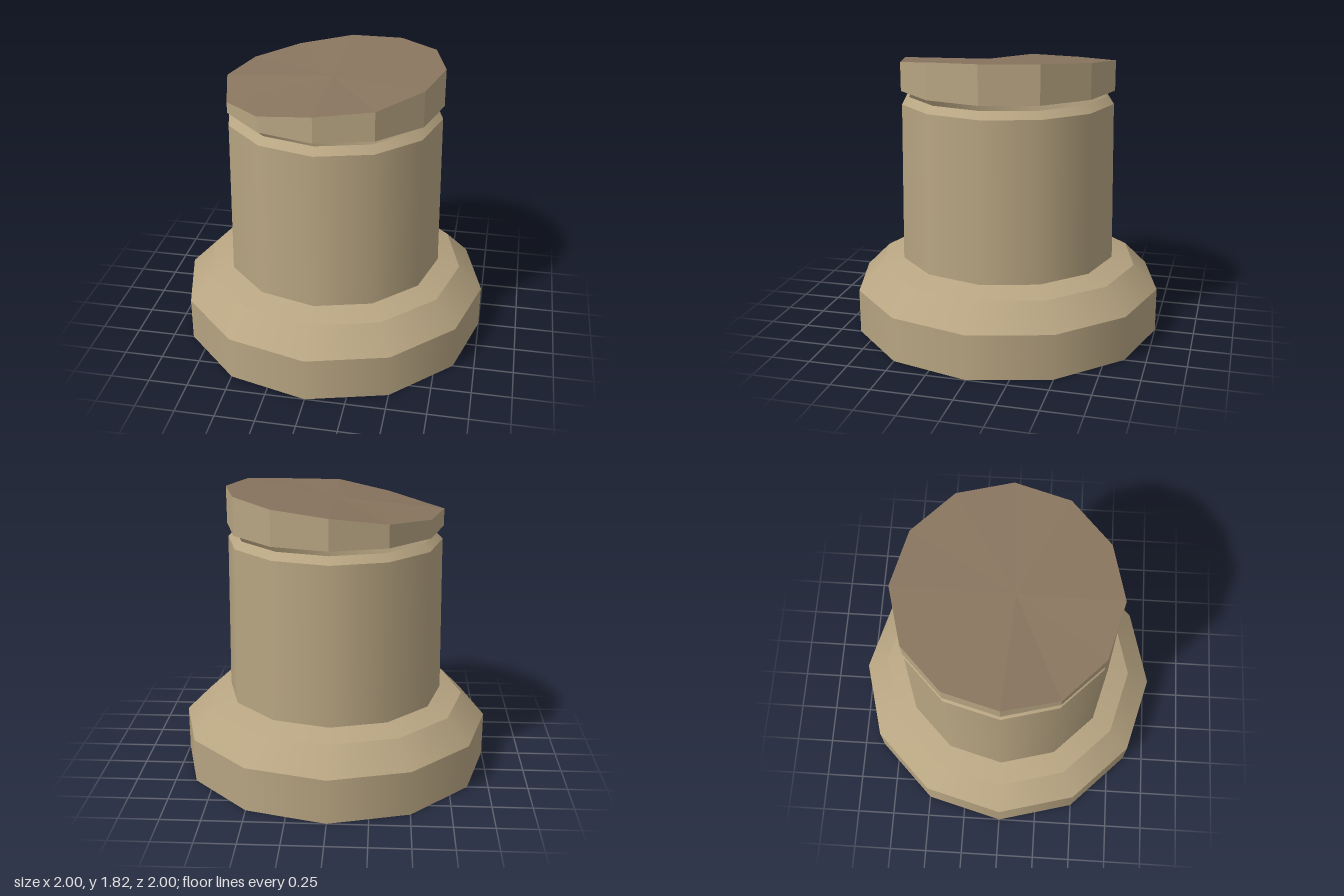
import * as THREE from 'three';

const SIDES = 12;
const stone = new THREE.MeshStandardMaterial({ color: 0xb8a582, side: THREE.DoubleSide });
const slabStone = new THREE.MeshStandardMaterial({ color: 0xb8a582, side: THREE.DoubleSide, flatShading: true });
const slabFace = new THREE.MeshStandardMaterial({ color: 0x89755f, side: THREE.DoubleSide, flatShading: true });

// Open 12-sided band between two radii and heights
function band(name, r0, y0, r1, y1) {
  const mesh = new THREE.Mesh(new THREE.CylinderGeometry(r1, r0, y1 - y0, SIDES, 1, true), stone);
  mesh.position.y = (y0 + y1) / 2;
  mesh.name = name;
  return mesh;
}

// Triangles from a flat list of corners
function faces(name, corners, material) {
  const geometry = new THREE.BufferGeometry().setFromPoints(corners);
  geometry.computeVertexNormals();
  const mesh = new THREE.Mesh(geometry, material);
  mesh.name = name;
  return mesh;
}

// Loose slab with an uneven, sloping top
function createSlab() {
  const radius = 0.69, bottom = 1.58;
  // Rim heights, counted from +x towards +z
  const heights = [1.82, 1.805, 1.76, 1.74, 1.68, 1.65, 1.69, 1.695, 1.72, 1.77, 1.80, 1.82];
  const rim = (i, y) => {
    const a = (i / SIDES) * Math.PI * 2;
    return new THREE.Vector3(radius * Math.cos(a), y, radius * Math.sin(a));
  };
  const topCentre = new THREE.Vector3(0, 1.75, 0.05);
  const bottomCentre = new THREE.Vector3(0, bottom, 0);
  const wall = [], top = [], under = [];
  for (let i = 0; i < SIDES; i++) {
    const j = (i + 1) % SIDES;
    const a = rim(i, bottom), b = rim(j, bottom);
    const c = rim(j, heights[j]), d = rim(i, heights[i]);
    wall.push(a, d, c, a, c, b);
    top.push(topCentre, c, d);
    under.push(bottomCentre, a, b);
  }
  const slab = new THREE.Group();
  slab.name = 'slab';
  slab.add(
    faces('slabWall', wall, slabStone),
    faces('slabTop', top, slabFace),
    faces('slabUnderside', under, slabFace)
  );
  return slab;
}

export function createModel() {
  const model = new THREE.Group();
  model.name = 'brokenColumn';
  // Hollow base, shaft and bevelled shaft rim
  model.add(
    band('baseWall', 1, 0, 1, 0.285),
    band('baseSlope', 1, 0.285, 0.845, 0.44),
    band('baseShoulder', 0.845, 0.44, 0.7, 0.485),
    band('shaft', 0.7, 0.485, 0.685, 1.495),
    band('shaftBevel', 0.685, 1.495, 0.64, 1.54),
    createSlab()
  );
  return model;
}
